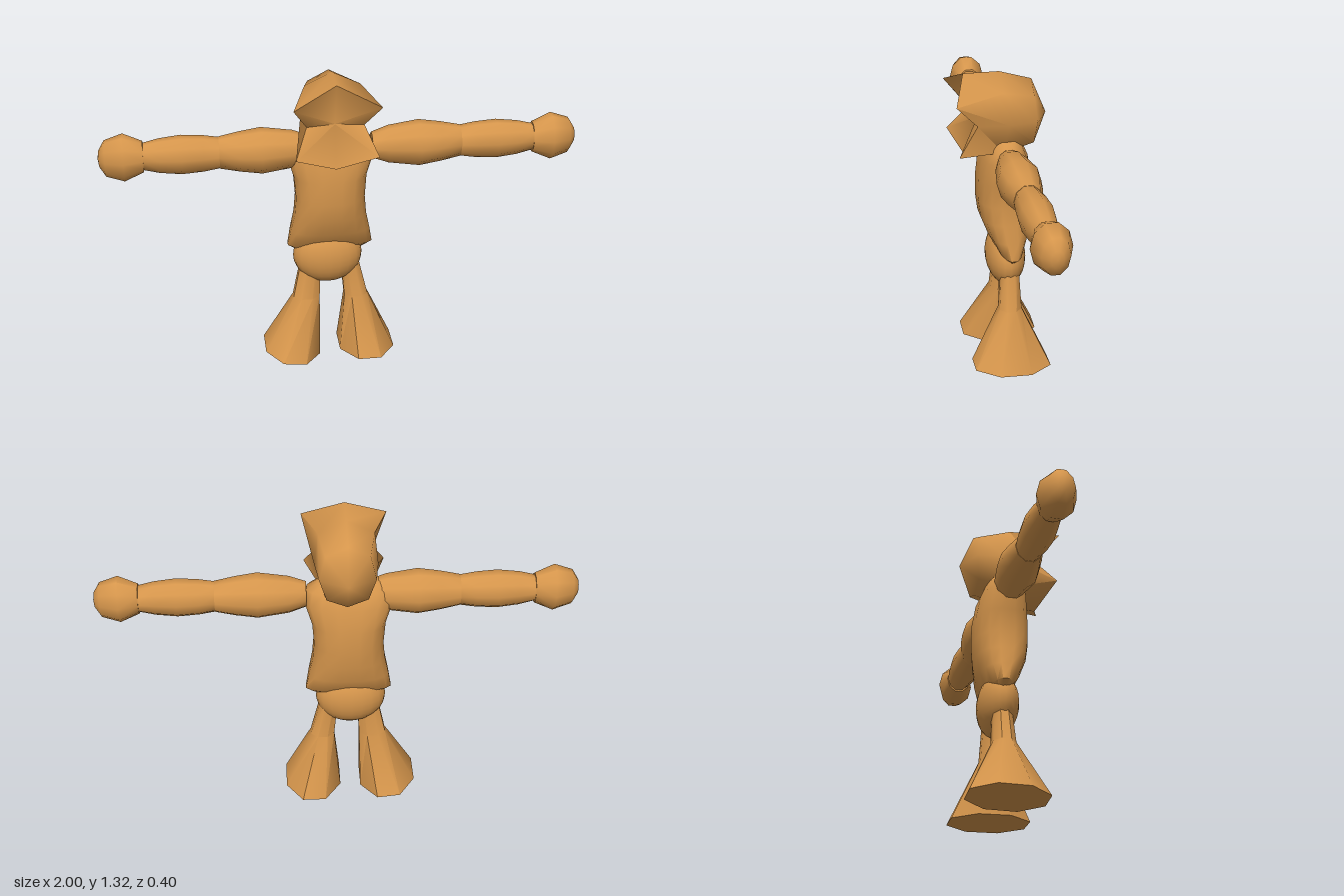
import * as THREE from 'three';
import { mergeVertices, toCreasedNormals } from 'three/addons/utils/BufferGeometryUtils.js';

const V = (x, y, z) => new THREE.Vector3(x, y, z);
const CX = -0.045; // body centre line

// Closed skin through rings of points; the end caps are fans to given or average points
function loft(rings, startTip, endTip, crease = 1.0) {
  const n = rings[0].length;
  const pts = rings.flat();
  const middle = (r) => r.reduce((s, p) => s.add(p), V(0, 0, 0)).divideScalar(n);
  const last = (rings.length - 1) * n;
  const s = pts.push(startTip || middle(rings[0])) - 1;
  const e = pts.push(endTip || middle(rings[rings.length - 1])) - 1;
  const index = [];
  for (let j = 0; j < n; j++) {
    const k = (j + 1) % n;
    for (let i = 0; i < last; i += n) {
      index.push(i + j, i + n + j, i + k, i + k, i + n + j, i + n + k);
    }
    index.push(s, j, k, e, last + k, last + j);
  }
  // Turn the faces outwards whichever way the rings run
  let volume = 0;
  for (let i = 0; i < index.length; i += 3) {
    const [a, b, c] = [0, 1, 2].map((q) => pts[index[i + q]]);
    volume += a.dot(b.clone().cross(c));
  }
  if (volume < 0) index.reverse();
  const geo = new THREE.BufferGeometry().setFromPoints(pts);
  geo.setIndex(index);
  return toCreasedNormals(geo, crease);
}

// Oval ring, level (around y) or upright (around x); power below 1 makes it boxier
function oval(axis, at, c1, c2, r1, r2, n = 8, power = 1) {
  const soft = (v) => Math.sign(v) * Math.abs(v) ** power;
  return Array.from({ length: n }, (_, i) => {
    const a = ((i + 0.5) / n) * Math.PI * 2;
    const u = c1 + r1 * soft(Math.cos(a));
    const w = c2 + r2 * soft(Math.sin(a));
    return axis === 'y' ? V(u, at, w) : V(at, u, w);
  });
}

export function createModel() {
  const model = new THREE.Group();
  const skin = new THREE.MeshStandardMaterial({ color: 0xd6964c });
  skin.name = 'orange skin';
  const add = (name, geo, parent = model) => {
    const mesh = new THREE.Mesh(geo, skin);
    mesh.name = name;
    parent.add(mesh);
    return mesh;
  };

  // Torso with a narrow waist: y, centre z, half width, half depth
  const torso = [
    [0.49, -0.035, 0.13, 0.015], [0.525, -0.035, 0.185, 0.05], [0.6, -0.03, 0.172, 0.085],
    [0.68, -0.022, 0.155, 0.108], [0.76, -0.02, 0.148, 0.117], [0.86, -0.02, 0.155, 0.114],
    [0.96, -0.017, 0.185, 0.098], [1.02, -0.015, 0.175, 0.075], [1.05, -0.015, 0.13, 0.05],
  ].map(([y, cz, rx, rz]) => oval('y', y, CX, cz, rx, rz, 16, 0.8));
  add('torso', loft(torso));

  // Rounded pelvis
  const pelvis = new THREE.SphereGeometry(1, 20, 14);
  pelvis.scale(0.15, 0.133, 0.086);
  add('pelvis', pelvis).position.set(-0.055, 0.472, -0.03);

  // Head: mirrored half outlines from the nape to the flared, hollow face
  const half = [
    [[0, 1.28, -0.135], [0.09, 1.235, -0.13], [0.115, 1.13, -0.14], [0.085, 1.03, -0.13], [0, 0.995, -0.13]],
    [[0, 1.32, 0], [0.115, 1.265, 0], [0.13, 1.13, -0.02], [0.1, 1.0, 0], [0, 0.955, 0.02]],
    [[0, 1.32, 0.15], [0.178, 1.24, 0.205], [0.118, 1.13, 0.11], [0.17, 1.02, 0.195], [0, 0.95, 0.14]],
  ];
  const headRings = half.map((h) => {
    const right = h.map(([x, y, z]) => V(-0.035 + x, y, z));
    const left = h.slice(1, 4).reverse().map(([x, y, z]) => V(-0.035 - x, y, z));
    return [...right, ...left];
  });
  add('head', loft(headRings, V(-0.035, 1.13, -0.197), V(-0.035, 1.13, 0.09), 1.15));

  // Arms in three swelling parts: distance from centre, half height, half depth
  const armParts = {
    UpperArm: [[0.13, 0.055, 0.05], [0.2, 0.08, 0.07], [0.33, 0.098, 0.09], [0.42, 0.085, 0.077], [0.505, 0.068, 0.058]],
    Forearm: [[0.495, 0.065, 0.055], [0.57, 0.077, 0.066], [0.66, 0.083, 0.072], [0.75, 0.073, 0.062], [0.825, 0.055, 0.05]],
    Hand: [[0.815, 0.066, 0.055], [0.895, 0.102, 0.08], [0.97, 0.078, 0.055], [0.995, 0.035, 0.025]],
  };
  for (const [side, s] of [['left', 1], ['right', -1]]) {
    const arm = new THREE.Group();
    arm.name = side + 'Arm';
    for (const [part, rows] of Object.entries(armParts)) {
      const rings = rows.map(([x, ry, rz]) => oval('x', s * x, 0.985, -0.01, ry, rz, 10));
      const end = part === 'Hand' ? V(s, 0.985, -0.01) : undefined;
      add(side + part, loft(rings, undefined, end), arm);
    }
    model.add(arm);
  }

  // Flared legs with flat soles: y, centre x, half width, centre z, half depth
  const legs = {
    leftLeg: [[0.015, 0.112, 0.13, -0.027, 0.18], [0.27, 0.068, 0.055, -0.028, 0.052], [0.47, 0.035, 0.04, -0.032, 0.04]],
    rightLeg: [[0.015, -0.218, 0.13, -0.027, 0.18], [0.27, -0.15, 0.062, -0.028, 0.052], [0.47, -0.125, 0.045, -0.032, 0.04]],
  };
  for (const [name, rows] of Object.entries(legs)) {
    const rings = rows.map(([y, cx, rx, cz, rz]) => oval('y', y, cx, cz, rx, rz));
    // Soles tilt gently
    for (const p of rings[0]) {
      p.y += name === 'rightLeg' ? -(p.x + 0.218) * 0.11 : (p.z + 0.027) * 0.03;
    }
    add(name, loft(rings, undefined, undefined, 0.8));
  }
  return model;
}
